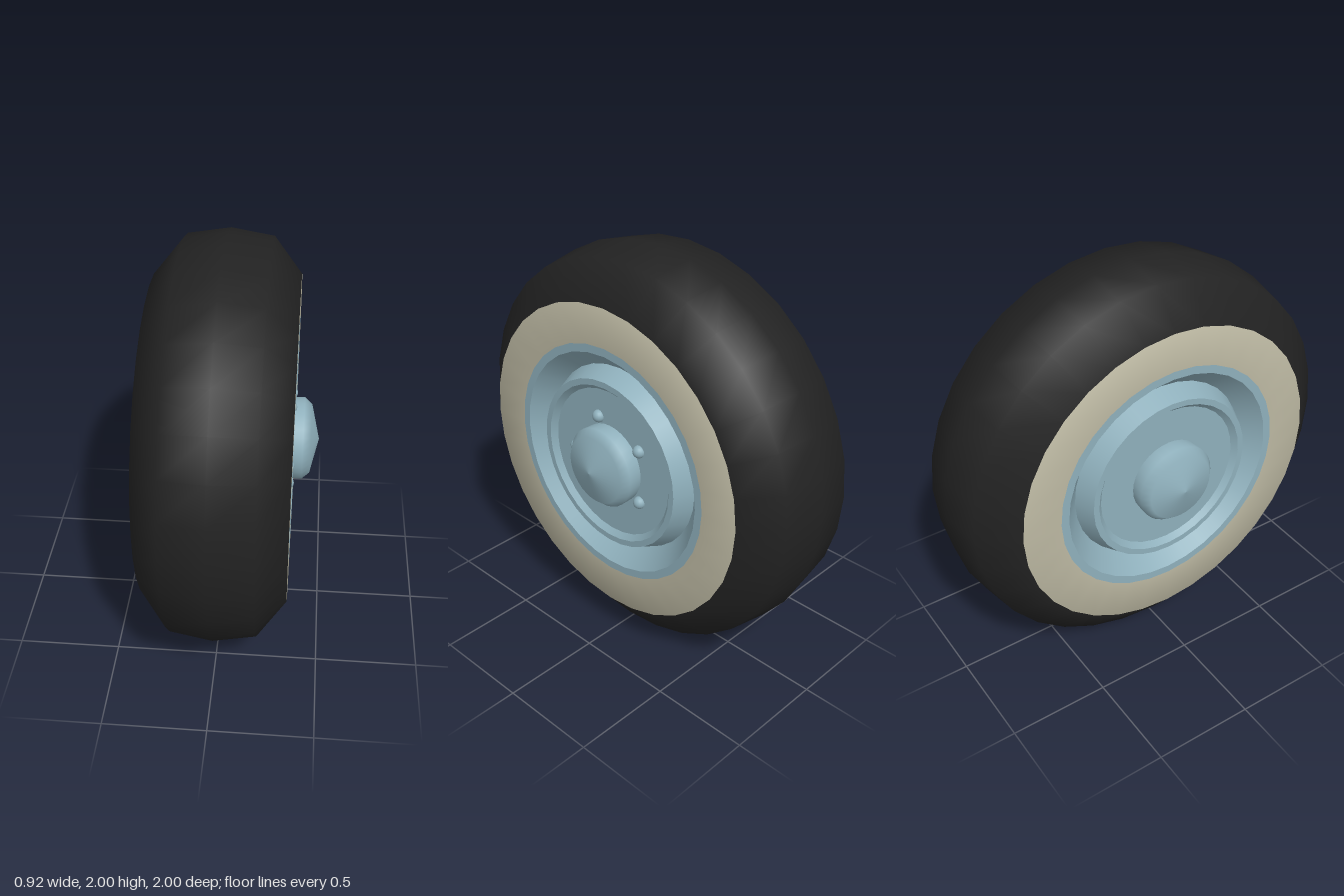
import * as THREE from 'three';
import { mergeGeometries } from 'three/addons/utils/BufferGeometryUtils.js';

const SEGMENTS = 32;

// Revolve [radius, x] points about the x axis
function revolve(points) {
  const profile = points.map(([r, x]) => new THREE.Vector2(r, x));
  return new THREE.LatheGeometry(profile, SEGMENTS).rotateZ(-Math.PI / 2);
}

// Same, but with a sharp crease at every profile point
function revolveCreased(points) {
  return mergeGeometries(points.slice(1).map((p, i) => revolve([points[i], p])));
}

export function createModel() {
  const rubber = new THREE.MeshStandardMaterial({ color: 0x222222 });
  rubber.name = 'black rubber';
  const cream = new THREE.MeshStandardMaterial({ color: 0xbcb8a2 });
  cream.name = 'cream sidewall';
  const steel = new THREE.MeshStandardMaterial({ color: 0x8fb0bc });
  steel.name = 'pale blue steel';

  const model = new THREE.Group();
  model.name = 'wheel';
  const add = (parent, name, geometry, material) => {
    const mesh = new THREE.Mesh(geometry, material);
    mesh.name = name;
    parent.add(mesh);
    return mesh;
  };

  // Tyre: one smooth surface, cream on its outermost band on each side
  const side = 0.343;
  const tyreProfile = [
    [0.6, -side], [0.795, -side], [0.967, -0.207], [1, 0],
    [0.967, 0.207], [0.795, side], [0.6, side],
  ];
  const tyreGeometry = revolve(tyreProfile);
  const bands = tyreProfile.length - 1;
  for (let i = 0; i < SEGMENTS; i++) {
    const start = i * bands * 6;
    tyreGeometry.addGroup(start, 6, 1);
    tyreGeometry.addGroup(start + 6, (bands - 2) * 6, 0);
    tyreGeometry.addGroup(start + (bands - 1) * 6, 6, 1);
  }
  add(model, 'tyre', tyreGeometry, [rubber, cream]).position.y = 1;

  // Rim and hub cap, one set on each side
  const discX = 0.317;
  const rimGeometry = revolveCreased([
    [0.6, side], [0.56, side],     // flat lip
    [0.47, 0.245],                 // sloping well
    [0.43, side], [0.4, side],     // raised ridge
    [0.375, discX], [0, discX],    // centre disc
  ]);
  const hubGeometry = revolve([
    [0.198, discX], [0.2, 0.385], [0.168, 0.422], [0, 0.462],
  ]);
  for (const [name, turn] of [['left', 0], ['right', Math.PI]]) {
    const face = new THREE.Group();
    face.name = name + 'Face';
    face.position.y = 1;
    face.rotation.y = turn;
    add(face, 'rim', rimGeometry, steel);
    add(face, 'hubCap', hubGeometry, steel);
    model.add(face);
  }

  // Five wheel bolts, on the left face only
  const boltGeometry = new THREE.SphereGeometry(0.031, 16, 12);
  for (let i = 0; i < 5; i++) {
    const a = (i * Math.PI * 2) / 5;
    add(model, 'wheelBolt', boltGeometry, steel)
      .position.set(discX + 0.002, 1 + 0.236 * Math.sin(a), 0.236 * Math.cos(a));
  }
  return model;
}
